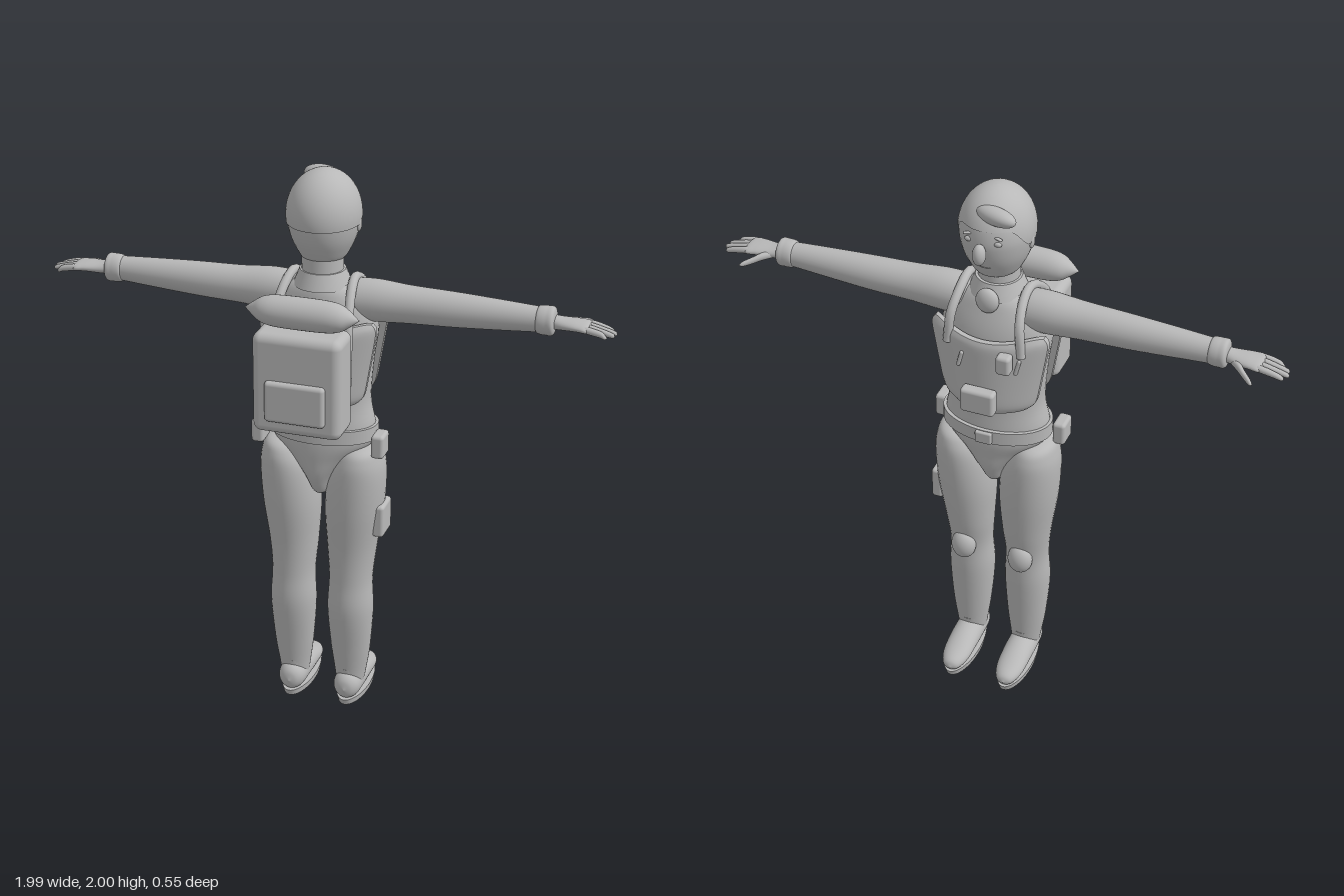
import * as THREE from 'three';
import { RoundedBoxGeometry } from 'three/addons/geometries/RoundedBoxGeometry.js';

const grey = new THREE.MeshStandardMaterial({ color: 0xb8b8b8 });
grey.name = 'plain grey';

// Smooth closed skin through oval rings [x, y, z, rb, rc], ascending along one axis;
// rb and rc are the radii on the next two axes in the cycle x, y, z.
function loft(rows, axis, steps = 40, sides = 32) {
  const b = (axis + 1) % 3, c = (axis + 2) % 3;
  const centre = new THREE.CatmullRomCurve3(rows.map(r => new THREE.Vector3(r[0], r[1], r[2])), false, 'catmullrom');
  const radius = new THREE.CatmullRomCurve3(rows.map(r => new THREE.Vector3(r[3], r[4], 0)), false, 'catmullrom');
  const pos = [], index = [];
  for (let i = 0; i <= steps; i++) {
    const p = centre.getPoint(i / steps), r = radius.getPoint(i / steps);
    for (let j = 0; j < sides; j++) {
      const t = j / sides * Math.PI * 2, v = p.toArray();
      v[b] += Math.max(r.x, 0.0005) * Math.sin(t);
      v[c] += Math.max(r.y, 0.0005) * Math.cos(t);
      pos.push(...v);
      if (i < steps) {
        const a = i * sides + j, n = i * sides + (j + 1) % sides;
        index.push(a, a + sides, n, n, a + sides, n + sides);
      }
    }
  }
  const g = new THREE.BufferGeometry();
  g.setAttribute('position', new THREE.Float32BufferAttribute(pos, 3));
  g.setIndex(index);
  g.computeVertexNormals();
  return g;
}

// Curved armour plate: rounded trapezoid, bowed around the chest, dipped at the top
function plateGeometry(side) {
  const g = new THREE.BoxGeometry(2, 2, 2, 28, 24, 2), p = g.attributes.position;
  for (let i = 0; i < p.count; i++) {
    const u = p.getX(i), v = p.getY(i), w = p.getZ(i);
    const width = 0.188 + 0.024 * v;
    const edge = 1 - 0.45 * Math.max(Math.abs(u), Math.abs(v)) ** 10;
    const x = u * width * (1 - 0.1 * v ** 10);
    const y = 1.355 + v * 0.155 * (1 - 0.07 * u ** 10) - (v > 0 ? 0.03 * v * (1 - u * u) : 0);
    const z = -0.05 + side * (0.135 - 0.07 * u * u) + w * 0.018 * edge;
    p.setXYZ(i, x, y, z);
  }
  g.computeVertexNormals();
  return g;
}

export function createModel() {
  const model = new THREE.Group();
  model.name = 'explorer';
  const add = (name, geo, x = 0, y = 0, z = 0) => {
    const m = new THREE.Mesh(geo, grey);
    m.name = name;
    m.position.set(x, y, z);
    model.add(m);
    return m;
  };
  const ball = (name, x, y, z, rx, ry, rz) => {
    const m = add(name, new THREE.SphereGeometry(1, 28, 20), x, y, z);
    m.scale.set(rx, ry, rz);
    return m;
  };
  const box = (name, x, y, z, w, h, d, r = 0.012) => add(name, new RoundedBoxGeometry(w, h, d, 4, r), x, y, z);
  const tube = (name, pts, r) => add(name, new THREE.TubeGeometry(
    new THREE.CatmullRomCurve3(pts.map(p => new THREE.Vector3(...p))), 32, r, 10));

  // Trunk from crotch to neck
  add('torso', loft([
    [0, 0.82, -0.045, 0, 0], [0, 0.84, -0.045, 0.06, 0.03], [0, 0.91, -0.047, 0.1, 0.065],
    [0, 0.98, -0.048, 0.112, 0.125], [0, 1.04, -0.05, 0.118, 0.18], [0, 1.1, -0.05, 0.115, 0.185],
    [0, 1.2, -0.05, 0.11, 0.168], [0, 1.35, -0.05, 0.12, 0.178], [0, 1.47, -0.05, 0.118, 0.192],
    [0, 1.56, -0.045, 0.1, 0.16], [0, 1.62, -0.04, 0.075, 0.09], [0, 1.64, -0.04, 0, 0]], 1, 60, 40));
  add('neck', new THREE.CylinderGeometry(0.07, 0.072, 0.16, 32), 0, 1.65, -0.035);
  add('collar', new THREE.CylinderGeometry(0.078, 0.1, 0.055, 32), 0, 1.632, -0.038);
  ball('throatBadge', 0, 1.612, -0.14, 0.04, 0.045, 0.026);

  // Head with face and cap of hair
  const headProfile = [[0, 1.685], [0.045, 1.688], [0.073, 1.7], [0.094, 1.735], [0.111, 1.775],
    [0.121, 1.82], [0.123, 1.86], [0.113, 1.91], [0.088, 1.955], [0.05, 1.985], [0, 1.995]];
  const headCurve = new THREE.SplineCurve(headProfile.map(p => new THREE.Vector2(...p)));
  const profile = headCurve.getPoints(40).map(p => new THREE.Vector2(Math.max(p.x, 0), p.y));
  add('head', new THREE.LatheGeometry(profile, 40), 0, 0, -0.05).scale.z = 1.1;
  const hair = new THREE.SphereGeometry(1, 48, 20, 0, Math.PI * 2, 0, Math.PI / 2);
  const hp = hair.attributes.position;
  for (let i = 0; i < hp.count; i++) {
    // hairline is high above the face and low at the nape
    const angle = Math.abs(Math.atan2(hp.getX(i), -hp.getZ(i)));
    const lift = 1 - THREE.MathUtils.smoothstep(angle, 0.7, 1.4);
    const phi = Math.atan2(hp.getX(i), hp.getZ(i));
    const theta = Math.acos(Math.min(1, hp.getY(i))) * (1.11 - 0.33 * lift);
    hp.setXYZ(i, Math.sin(theta) * Math.sin(phi) * 0.127, Math.cos(theta) * 0.152, Math.sin(theta) * Math.cos(phi) * 0.14);
  }
  hair.computeVertexNormals();
  add('hair', hair, 0, 1.848, -0.05);
  ball('forelock', -0.035, 1.945, -0.148, 0.075, 0.03, 0.036).rotation.set(0.4, -0.25, 0.1);
  ball('nose', 0, 1.828, -0.206, 0.022, 0.038, 0.025);
  ball('mouth', 0, 1.755, -0.157, 0.026, 0.005, 0.008);
  for (const s of [-1, 1]) {
    ball('eye', s * 0.05, 1.858, -0.172, 0.014, 0.009, 0.008);
    box('eyebrow', s * 0.05, 1.88, -0.172, 0.034, 0.007, 0.012, 0.003).rotation.y = s * 0.4;
    ball('ear', s * 0.12, 1.82, -0.055, 0.009, 0.026, 0.016);
  }

  // Armour vest with its pouches
  add('chestPlate', plateGeometry(-1));
  add('backPlate', plateGeometry(1));
  box('bellyPouch', 0, 1.265, -0.222, 0.12, 0.09, 0.045);
  box('chestPouch', -0.085, 1.425, -0.205, 0.05, 0.07, 0.045);
  for (const x of [0.075, -0.12]) {
    const clip = add('vestClip', new THREE.CapsuleGeometry(0.007, 0.05, 4, 10), x, 1.4, x > 0 ? -0.197 : -0.177);
    clip.rotation.z = 0.25;
  }

  // Belt
  const belt = add('belt', new THREE.CylinderGeometry(1, 1, 0.05, 48), 0, 1.08, -0.05);
  belt.scale.set(0.195, 1, 0.128);
  box('buckle', 0, 1.08, -0.177, 0.06, 0.045, 0.025, 0.006);

  for (const s of [-1, 1]) {
    box('hipPouch', s * 0.217, 1.052, -0.004, 0.045, 0.085, 0.078);
    tube('shoulderStrap', [[s * 0.13, 1.44, -0.17], [s * 0.12, 1.55, -0.16], [s * 0.11, 1.615, -0.1],
      [s * 0.11, 1.632, -0.04], [s * 0.12, 1.59, 0.035], [s * 0.13, 1.5, 0.09], [s * 0.13, 1.3, 0.1]], 0.016);

    // Arm, cuff and hand
    const arm = rows => {
      const r = rows.map(v => [s * v[0], ...v.slice(1)]);
      return loft(s < 0 ? r.reverse() : r, 0, 36, 28);
    };
    add('arm', arm([[0.05, 1.555, -0.05, 0, 0], [0.08, 1.556, -0.05, 0.06, 0.06], [0.17, 1.558, -0.053, 0.073, 0.069],
      [0.3, 1.557, -0.054, 0.065, 0.061], [0.45, 1.557, -0.056, 0.06, 0.056], [0.6, 1.558, -0.057, 0.052, 0.048],
      [0.74, 1.559, -0.058, 0.043, 0.04], [0.78, 1.559, -0.058, 0.04, 0.038], [0.79, 1.559, -0.058, 0, 0]]));
    add('cuff', arm([[0.732, 1.559, -0.057, 0.035, 0.034], [0.738, 1.559, -0.057, 0.047, 0.044],
      [0.765, 1.559, -0.057, 0.05, 0.046], [0.79, 1.559, -0.057, 0.045, 0.042], [0.798, 1.559, -0.057, 0, 0]]));
    add('palm', arm([[0.78, 1.557, -0.057, 0.025, 0.026], [0.82, 1.556, -0.057, 0.021, 0.036],
      [0.87, 1.556, -0.057, 0.018, 0.045], [0.905, 1.553, -0.057, 0.015, 0.045], [0.915, 1.551, -0.057, 0, 0]]));
    [0.985, 0.997, 0.993, 0.972].forEach((tip, k) => {
      const z = -0.09 + k * 0.022;
      add('finger', arm([[0.88, 1.556, z, 0.009, 0.009], [0.91, 1.553, z, 0.012, 0.011],
        [0.95, 1.545, z, 0.011, 0.01], [tip - 0.008, 1.537, z, 0.008, 0.008], [tip, 1.535, z, 0, 0]]));
    });
    add('thumb', arm([[0.81, 1.552, -0.075, 0.012, 0.014], [0.84, 1.55, -0.1, 0.014, 0.016],
      [0.865, 1.543, -0.125, 0.012, 0.013], [0.89, 1.537, -0.148, 0.009, 0.01], [0.902, 1.535, -0.156, 0, 0]]));

    // Leg, knee pad and shoe
    add('leg', loft([[s * 0.105, 0.07, -0.04, 0.048, 0.05], [s * 0.106, 0.12, -0.04, 0.052, 0.058],
      [s * 0.107, 0.22, -0.037, 0.061, 0.072], [s * 0.107, 0.38, -0.032, 0.076, 0.083],
      [s * 0.107, 0.5, -0.036, 0.075, 0.078], [s * 0.108, 0.62, -0.045, 0.088, 0.088],
      [s * 0.115, 0.78, -0.047, 0.108, 0.104], [s * 0.125, 0.91, -0.047, 0.115, 0.101],
      [s * 0.136, 0.98, -0.047, 0.108, 0.082], [s * 0.145, 1.02, -0.047, 0.08, 0.055],
      [s * 0.148, 1.035, -0.047, 0, 0]], 1, 60));
    ball('kneePad', s * 0.108, 0.515, -0.112, 0.045, 0.057, 0.036);
    add('ankleCuff', new THREE.CylinderGeometry(0.054, 0.05, 0.05, 28), s * 0.105, 0.11, -0.04);
    add('shoe', loft([[s * 0.105, 0.045, -0.27, 0, 0], [s * 0.105, 0.047, -0.255, 0.03, 0.022],
      [s * 0.105, 0.055, -0.205, 0.049, 0.033], [s * 0.105, 0.066, -0.13, 0.053, 0.045],
      [s * 0.105, 0.07, -0.05, 0.052, 0.052], [s * 0.105, 0.07, 0.005, 0.048, 0.051],
      [s * 0.105, 0.068, 0.032, 0.03, 0.034], [s * 0.105, 0.066, 0.042, 0, 0]], 2));
    const sole = add('sole', new THREE.CylinderGeometry(1, 0.94, 0.024, 40), s * 0.105, 0.012, -0.115);
    sole.scale.set(0.056, 1, 0.155);
  }
  box('thighPouch', 0.213, 0.75, -0.05, 0.042, 0.12, 0.105);

  // Backpack with pocket and bedroll
  box('backpack', 0, 1.337, 0.183, 0.31, 0.355, 0.145, 0.03);
  box('backpackPocket', 0, 1.283, 0.257, 0.21, 0.145, 0.036, 0.014);
  add('bedroll', loft([[-0.198, 1.575, 0.182, 0, 0], [-0.165, 1.575, 0.182, 0.026, 0.026], [-0.13, 1.575, 0.182, 0.046, 0.046],
    [-0.07, 1.575, 0.182, 0.054, 0.054], [0.07, 1.575, 0.182, 0.054, 0.054], [0.13, 1.575, 0.182, 0.046, 0.046],
    [0.165, 1.575, 0.182, 0.026, 0.026], [0.198, 1.575, 0.182, 0, 0]], 0));
  return model;
}
